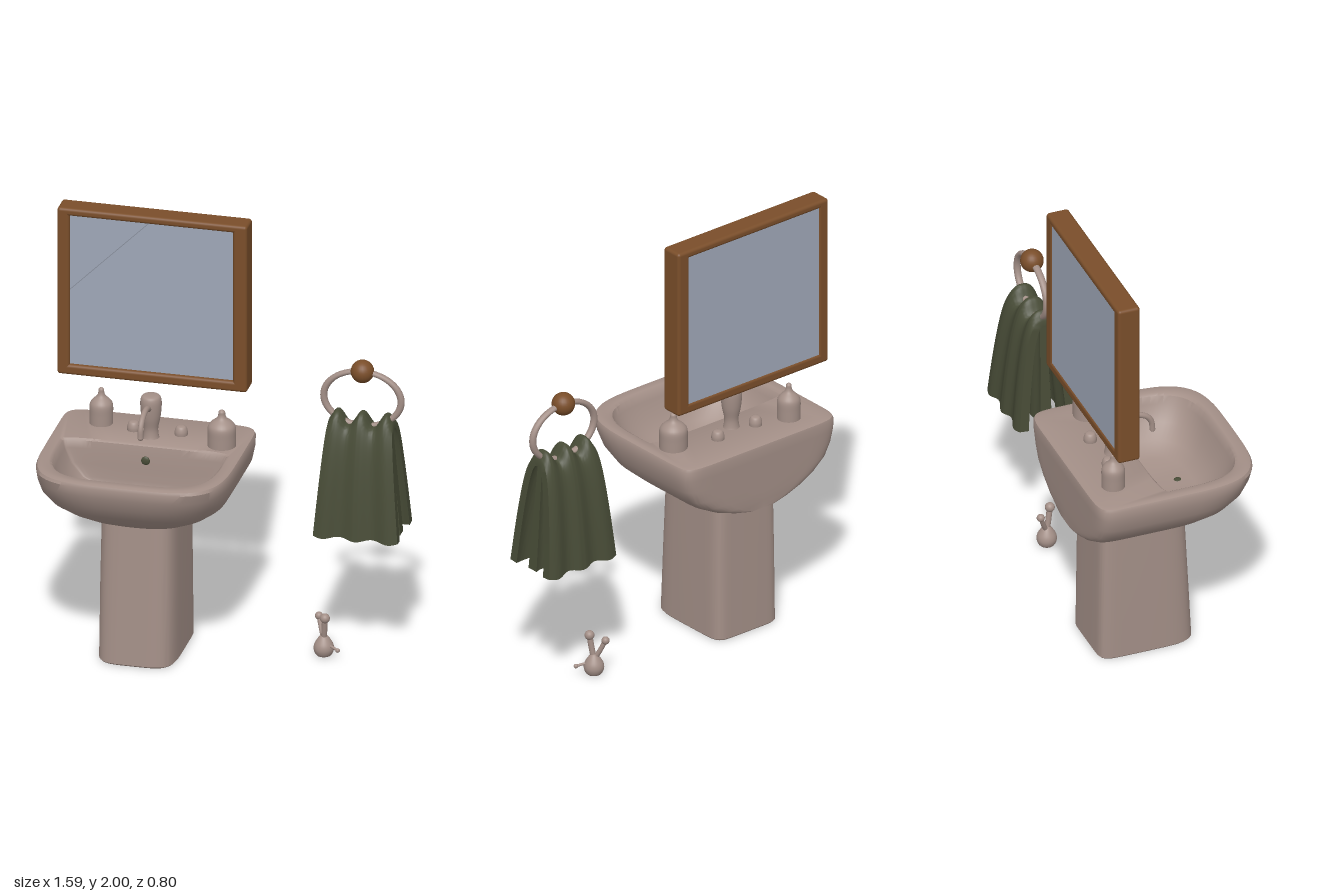
import * as THREE from 'three';
import { toCreasedNormals } from 'three/addons/utils/BufferGeometryUtils.js';
import { RoundedBoxGeometry } from 'three/addons/geometries/RoundedBoxGeometry.js';

const material = (name, color) => {
  const m = new THREE.MeshStandardMaterial({ color });
  m.name = name;
  return m;
};

// Skin over horizontal rings [y, half width, front z, back z, front squareness, back squareness]
function loft(cx, cz, rings, sides = 64) {
  const pos = [], index = [];
  const pow = (t, n) => Math.sign(t) * Math.abs(t) ** (2 / n);
  for (const [y, w, front, back, nf, nb] of rings) {
    for (let i = 0; i < sides; i++) {
      const a = (i / sides) * Math.PI * 2, c = Math.cos(a), s = Math.sin(a);
      const n = s > 0 ? nf : nb, depth = s > 0 ? front - cz : cz - back;
      pos.push(cx + w * pow(c, n), y, cz + depth * pow(s, n));
    }
  }
  for (let j = 0; j < rings.length - 1; j++) {
    for (let i = 0; i < sides; i++) {
      const a = j * sides + i, b = j * sides + (i + 1) % sides;
      index.push(a, a + sides, b, b, a + sides, b + sides);
    }
  }
  const geo = new THREE.BufferGeometry();
  geo.setAttribute('position', new THREE.Float32BufferAttribute(pos, 3));
  geo.setIndex(index);
  return toCreasedNormals(geo, 0.7);
}

// Moves every vertex of a geometry by a rule
function warp(geo, rule) {
  const p = geo.attributes.position, v = new THREE.Vector3();
  for (let i = 0; i < p.count; i++) {
    v.fromBufferAttribute(p, i);
    rule(v);
    p.setXYZ(i, v.x, v.y, v.z);
  }
  return toCreasedNormals(geo, 0.9);
}

const lathe = (points) => new THREE.LatheGeometry(
  new THREE.SplineCurve(points.map(([r, y]) => new THREE.Vector2(r, y))).getPoints(28), 28);

const tube = (points, radius) => new THREE.TubeGeometry(
  new THREE.CatmullRomCurve3(points.map((p) => new THREE.Vector3(...p))), 24, radius, 12);

export function createModel() {
  const ceramic = material('ceramic', 0xa38f87);
  const wood = material('wood', 0x7a4e2a);
  const glass = material('mirror glass', 0x9fa7b7);
  const crackGrey = material('crack grey', 0x858c9a);
  const cloth = material('green cloth', 0x484c37);

  const model = new THREE.Group();
  model.name = 'washstand';
  const add = (name, geo, mat, x = 0, y = 0, z = 0) => {
    const mesh = new THREE.Mesh(geo, mat);
    mesh.name = name;
    mesh.position.set(x, y, z);
    model.add(mesh);
    return mesh;
  };
  const ball = (name, mat, r, x, y, z) => add(name, new THREE.SphereGeometry(r, 24, 16), mat, x, y, z);
  const cx = -0.363;

  // Basin: outer bowl, rim and inner hollow in one skin
  add('basin', loft(cx, -0.05, [
    [0.645, 0.001, -0.049, -0.051, 3, 8],
    [0.65, 0.1, 0.1, -0.39, 3, 8],
    [0.665, 0.18, 0.15, -0.39, 3, 8],
    [0.69, 0.26, 0.2, -0.392, 3, 8],
    [0.73, 0.335, 0.265, -0.393, 3, 9],
    [0.78, 0.392, 0.325, -0.394, 3.2, 10],
    [0.84, 0.425, 0.37, -0.395, 3.5, 10],
    [0.9, 0.436, 0.392, -0.396, 3.8, 11],
    [0.945, 0.438, 0.4, -0.397, 4, 11],
    [0.958, 0.432, 0.394, -0.394, 4, 11],
    [0.963, 0.418, 0.38, -0.385, 4, 10],
    [0.963, 0.385, 0.345, -0.09, 4, 3],
    [0.955, 0.372, 0.332, -0.08, 4, 3],
    [0.92, 0.36, 0.32, -0.074, 4, 3],
    [0.85, 0.33, 0.29, -0.07, 3.6, 3],
    [0.79, 0.28, 0.25, -0.066, 3.2, 3],
    [0.75, 0.2, 0.2, -0.06, 3, 3],
    [0.735, 0.001, -0.049, -0.051, 3, 3],
  ]), ceramic);

  // Pedestal
  add('pedestal', loft(cx, -0.07, [
    [0, 0.001, -0.069, -0.071, 4, 7],
    [0, 0.172, 0.16, -0.287, 4.5, 8],
    [0.006, 0.177, 0.165, -0.292, 4.5, 8],
    [0.35, 0.175, 0.147, -0.288, 4.5, 8],
    [0.69, 0.17, 0.13, -0.284, 4.5, 8],
  ]), ceramic);

  // Drain and overflow
  ball('drain', cloth, 0.02, cx, 0.742, 0.14).scale.y = 0.4;
  ball('overflow', cloth, 0.02, cx, 0.89, -0.072).scale.z = 0.4;

  // Tap: body, spout and two knobs
  add('tapBody', lathe([[0.04, 0.955], [0.034, 0.975], [0.032, 1.01], [0.042, 1.06], [0.047, 1.11],
    [0.046, 1.145], [0.035, 1.163], [0.001, 1.167]]), ceramic, cx, 0, -0.17);
  add('tapSpout', tube([[cx, 1.1, -0.15], [cx, 1.128, -0.1], [cx, 1.13, -0.05], [cx, 1.11, -0.005],
    [cx, 1.08, 0.015], [cx, 1.04, 0.02]], 0.013), ceramic);
  ball('spoutTip', ceramic, 0.013, cx, 1.04, 0.02);
  for (const x of [-0.455, -0.24]) {
    add('tapKnob', lathe([[0.028, 0.955], [0.029, 0.98], [0.02, 1.002], [0.001, 1.007]]), ceramic, x, 0, -0.225);
  }

  // Soap bottles
  for (const [x, z, s] of [[-0.04, -0.16, 1], [-0.612, -0.265, 0.83]]) {
    const bottle = add('soapBottle', lathe([[0.063, 0], [0.063, 0.05], [0.062, 0.095], [0.048, 0.118],
      [0.024, 0.138], [0.016, 0.155], [0.014, 0.172], [0.001, 0.182]]), ceramic, x, 0.958, z);
    bottle.scale.set(s, 0.97, s);
  }

  // Mirror frame: left, right, top and bottom bars [width, height, x, y]
  for (const [w, h, x, y] of [[0.056, 0.8, -0.772, 1.6], [0.064, 0.8, 0.028, 1.6],
    [0.85, 0.036, -0.37, 1.982], [0.85, 0.048, -0.37, 1.224]]) {
    add('mirrorFrame', new RoundedBoxGeometry(w, h, 0.105, 3, 0.014), wood, x, y, -0.263);
  }
  add('mirrorGlass', new THREE.BoxGeometry(0.77, 0.75, 0.08), glass, -0.37, 1.606, -0.27);
  add('mirrorCrack', new THREE.BoxGeometry(0.51, 0.003, 0.002), crackGrey, -0.565, 1.785, -0.2295)
    .rotation.z = Math.PI / 4;

  // Towel ring with its wooden knob
  const tx = 0.595, tz = -0.167;
  add('towelRing', new THREE.TorusGeometry(0.175, 0.016, 14, 56), ceramic, tx, 1.255, tz).scale.y = 0.74;
  ball('towelKnob', wood, 0.052, tx, 1.385, tz);

  // Towel draped over the ring; u runs across, v from front hem over the top to back hem
  const halfWidth = (drop) => 0.145 + 0.047 * Math.min(1, drop * 1.8);
  add('towelDrape', warp(new THREE.BoxGeometry(2, 2, 1, 48, 48, 1), (p) => {
    const { x: u, y: v, z: t } = p, a = Math.abs(v);
    const drop = 0.55 * a ** 2.5;
    const n = new THREE.Vector2(0.115, -1.375 * Math.sign(v) * a ** 1.5).normalize();
    const fold = Math.cos(u * Math.PI * 2.6);
    const off = t * (0.03 + 0.012 * a) + 0.009 * fold * a;
    p.x = u * halfWidth(drop);
    p.y = 1.178 - drop + n.x * off - 0.03 * (1 - fold) * Math.exp(-drop * 14)
      - 0.006 * a ** 8 * Math.cos(u * 8);
    p.z = -0.115 * v + n.y * off;
  }), cloth, tx, 0, tz);
  add('towelInnerFold', warp(new THREE.BoxGeometry(2, 1, 0.042, 40, 16, 1), (p) => {
    const drop = 0.5 - p.y, u = p.x;
    p.x = u * (halfWidth(drop * 0.5) - 0.01);
    p.y = 1.12 - drop * 0.495;
    p.z = p.z * (0.7 + 0.6 * drop) + 0.008 * Math.cos(u * 8);
  }), cloth, tx, 0, tz);

  // Small floor ornament: round body with two stalks and a side nub
  add('ornamentBody', lathe([[0.001, 0], [0.03, 0.001], [0.044, 0.025], [0.043, 0.05], [0.03, 0.075],
    [0.014, 0.095], [0.001, 0.1]]), ceramic, 0.42, 0, -0.167);
  for (const [x, y, z, r] of [[0.43, 0.185, -0.148, 0.022], [0.388, 0.168, -0.208, 0.018],
    [0.492, 0.045, -0.13, 0.01]]) {
    add('ornamentStalk', tube([[0.42, Math.min(y, 0.07), -0.167],
      [(0.42 + x) / 2, (y + 0.06) / 2, (z - 0.167) / 2], [x, y, z]], r * 0.6), ceramic);
    ball('ornamentTip', ceramic, r, x, y, z);
  }

  return model;
}
